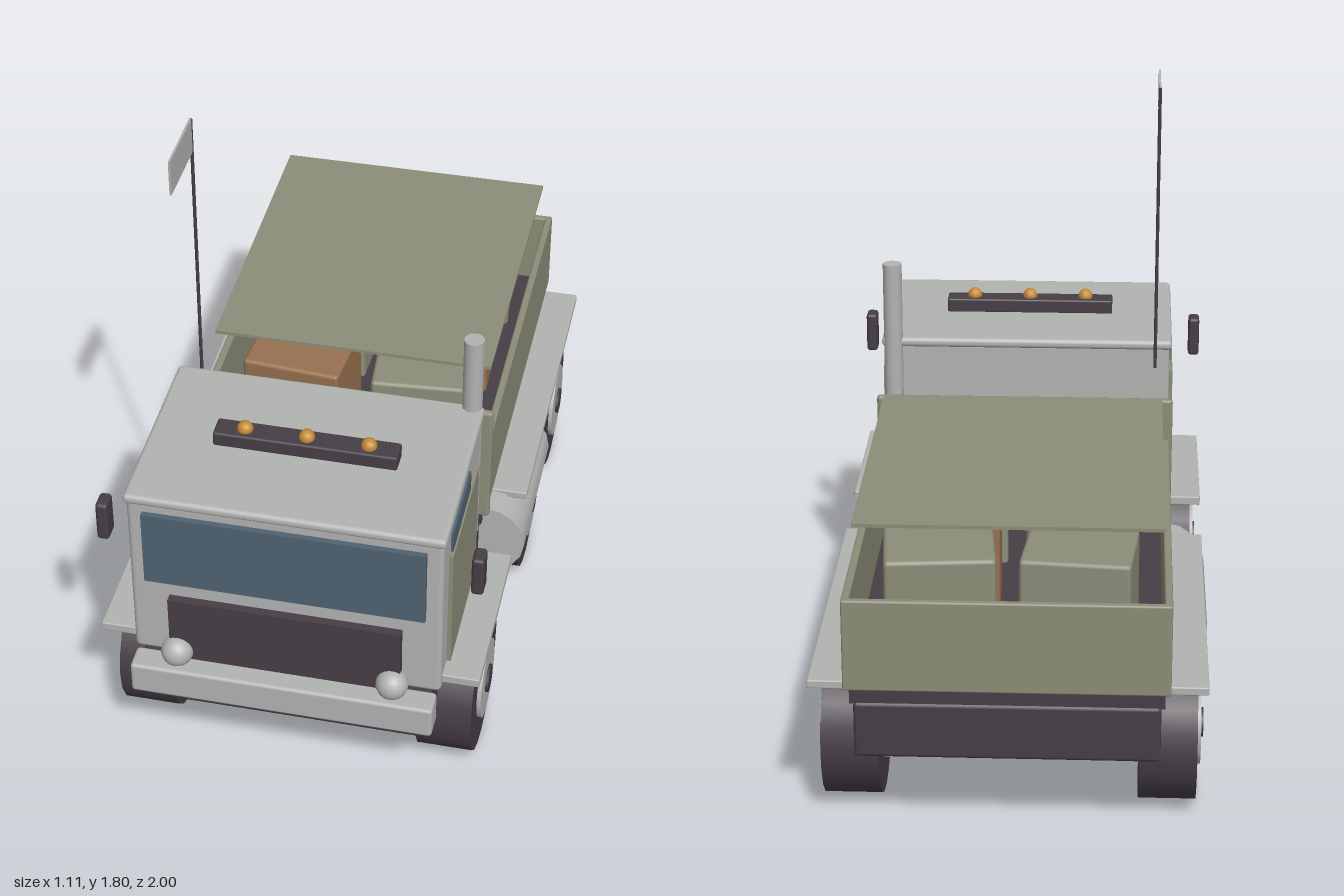
import * as THREE from 'three';
import { RoundedBoxGeometry } from 'three/addons/geometries/RoundedBoxGeometry.js';

const mat = (name, color, side = THREE.FrontSide) => {
  const m = new THREE.MeshStandardMaterial({ color, side });
  m.name = name;
  return m;
};

export function createModel() {
  const truck = new THREE.Group();
  truck.name = 'truck';
  const grey = mat('light grey', 0xb2b4b2);
  const olive = mat('olive', 0x8c8d78);
  const dark = mat('dark rubber', 0x463e46);
  const glass = mat('blue glass', 0x4f6371);
  const brown = mat('brown crate', 0x98704f);
  const amber = mat('amber', 0xc48a36);

  const add = (name, geo, material, x = 0, y = 0, z = 0) => {
    const mesh = new THREE.Mesh(geo, material);
    mesh.name = name;
    mesh.position.set(x, y, z);
    truck.add(mesh);
    return mesh;
  };
  // Box given by its limits, with an optional rounded edge
  const box = (name, material, [x0, x1], [y0, y1], [z0, z1], r = 0) => {
    const s = [x1 - x0, y1 - y0, z1 - z0];
    const geo = r ? new RoundedBoxGeometry(...s, 2, r) : new THREE.BoxGeometry(...s);
    return add(name, geo, material, (x0 + x1) / 2, (y0 + y1) / 2, (z0 + z1) / 2);
  };
  // Box on one side of the truck, its x limits mirrored for side -1
  const sideBox = (side, name, material, [x0, x1], y, z, r) =>
    box(name, material, side > 0 ? [x0, x1] : [-x1, -x0], y, z, r);
  // Cylinder lying along x
  const across = (name, material, r, length, x, y, z, sides = 20) => {
    const mesh = add(name, new THREE.CylinderGeometry(r, r, length, sides), material, x, y, z);
    mesh.rotation.z = Math.PI / 2;
    return mesh;
  };

  // Chassis and front
  box('chassis', dark, [-0.415, 0.415], [0.245, 0.41], [-0.98, 0.935], 0.012);
  box('bumper', grey, [-0.432, 0.432], [0.322, 0.422], [0.92, 1], 0.01);

  // Cab
  box('cab', grey, [-0.44, 0.44], [0.415, 0.965], [0.355, 0.915], 0.015);
  box('roof', grey, [-0.447, 0.447], [0.955, 0.985], [0.335, 0.925], 0.013);
  box('windshield', glass, [-0.395, 0.395], [0.69, 0.93], [0.91, 0.932]);
  box('grille', dark, [-0.33, 0.33], [0.42, 0.635], [0.91, 0.94]);

  // Roof lights
  box('lightBar', dark, [-0.26, 0.26], [0.982, 1.027], [0.595, 0.665], 0.006);
  for (const x of [-0.175, 0, 0.175])
    add('roofLight', new THREE.SphereGeometry(0.023, 12, 8), amber, x, 1.031, 0.63);

  // Exhaust stack and aerial with its flag
  add('exhaust', new THREE.CylinderGeometry(0.029, 0.029, 0.7, 12), grey, 0.411, 0.872, 0.346);
  add('aerial', new THREE.CylinderGeometry(0.005, 0.005, 0.875, 8), dark, -0.395, 1.357, 0.283);
  box('flag', grey, [-0.398, -0.392], [1.69, 1.797], [0.283, 0.5]);

  for (const side of [-1, 1]) {
    // Cab sides
    sideBox(side, 'door', olive, [0.435, 0.452], [0.455, 0.852], [0.44, 0.83]);
    sideBox(side, 'sideWindow', glass, [0.435, 0.447], [0.68, 0.918], [0.545, 0.81]);
    sideBox(side, 'mirror', dark, [0.508, 0.543], [0.768, 0.893], [0.818, 0.878], 0.01);
    add('headlight', new THREE.SphereGeometry(0.046, 16, 12), grey, side * 0.308, 0.45, 0.942);

    // Fenders
    sideBox(side, 'frontFender', grey, [0.4, 0.545], [0.432, 0.46], [0.36, 0.89], 0.004);
    sideBox(side, 'rearFender', grey, [0.4, 0.543], [0.432, 0.456], [-0.945, 0.08], 0.004);

    // Fuel tank
    const tank = add('fuelTank', new THREE.CylinderGeometry(0.125, 0.125, 0.475, 16), grey, side * 0.43, 0.328, -0.07);
    tank.rotation.x = Math.PI / 2;

    // Wheels
    for (const z of [0.63, -0.175, -0.68]) {
      across('tyre', dark, 0.215, 0.16, side * 0.437, 0.215, z);
      across('wheelRim', grey, 0.117, 0.184, side * 0.437, 0.215, z);
      across('wheelHub', dark, 0.042, 0.2, side * 0.437, 0.215, z, 10);
    }

    // Cargo bed sides
    sideBox(side, 'bedSide', olive, [0.418, 0.44], [0.455, 0.72], [-1, 0.2], 0.006);
  }

  // Axles
  for (const z of [0.63, -0.175, -0.68]) across('axle', dark, 0.03, 0.76, 0, 0.215, z, 12);

  // Cargo bed
  box('bedFloor', dark, [-0.425, 0.425], [0.405, 0.485], [-0.975, 0.19]);
  box('bedTail', olive, [-0.44, 0.44], [0.455, 0.72], [-1, -0.978], 0.006);
  box('bedFront', olive, [-0.45, 0.45], [0.455, 0.85], [0.183, 0.208], 0.01);
  box('coverSheet', olive, [-0.416, 0.416], [0.891, 0.901], [-0.905, 0.057]);

  // Cargo crates in three rows of two: centre z, top, turn, left and right colours
  const rows = [
    [-0.11, 0.76, 0.08, olive, brown],
    [-0.46, 0.76, 0.03, brown, olive],
    [-0.81, 0.81, 0.09, olive, olive],
  ];
  for (const [z, top, turn, left, right] of rows)
    for (const side of [-1, 1]) {
      const crate = box('crate', side > 0 ? left : right,
        [side * 0.19 - 0.15, side * 0.19 + 0.15], [0.48, top], [z - 0.127, z + 0.127], 0.012);
      crate.rotation.y = side * turn;
    }

  return truck;
}
